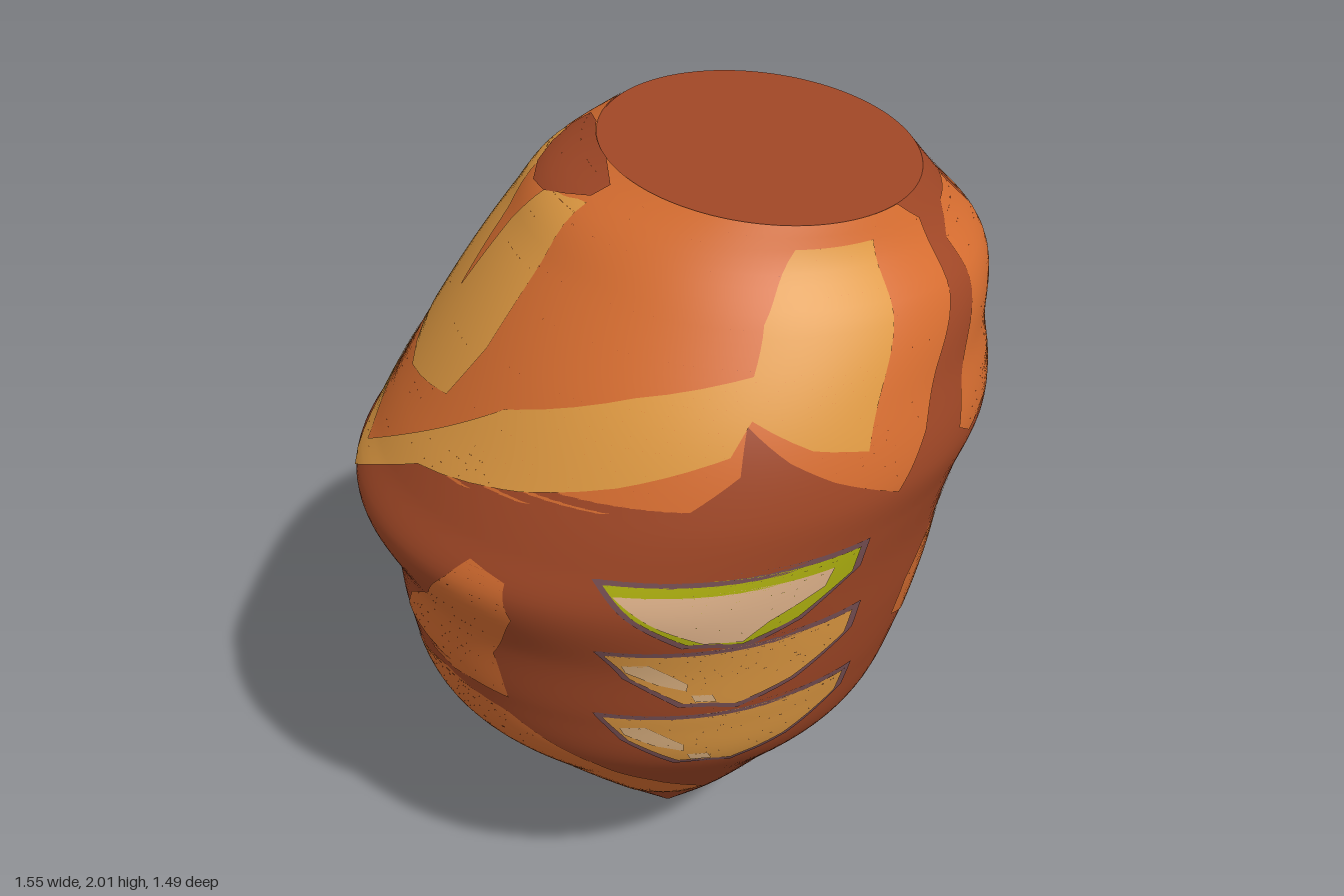
import * as THREE from 'three';

// Body cross-sections: height, left x, right x, half depth
const SECTIONS = [
  [0, -0.015, 0.015, 0.015], [0.18, -0.21, 0.2, 0.19], [0.42, -0.44, 0.38, 0.41], [0.63, -0.625, 0.545, 0.59],
  [0.8, -0.675, 0.61, 0.65], [0.98, -0.7, 0.656, 0.69], [1.17, -0.775, 0.69, 0.735], [1.29, -0.71, 0.725, 0.738],
  [1.41, -0.64, 0.77, 0.728], [1.6, -0.515, 0.752, 0.67], [1.79, -0.375, 0.742, 0.56], [1.9, -0.285, 0.65, 0.475],
  [1.975, -0.16, 0.585, 0.435],
];
const TOP = 1.975;
const HALF = Math.PI / 2;
const sectionCurve = new THREE.CubicInterpolant(
  SECTIONS.map((s) => s[0]), SECTIONS.flatMap((s) => s.slice(1)), 3, new Float32Array(3));

function section(t) {
  const [xl, xr, depth] = sectionCurve.evaluate(THREE.MathUtils.clamp(t, 0, TOP));
  return { cx: (xl + xr) / 2, a: (xr - xl) / 2, b: depth };
}

// Point on the skin; the upper rings lean down towards +x
function skin(angle, t) {
  const { cx, a, b } = section(t);
  const lean = 0.07 * THREE.MathUtils.smoothstep(t, 1.4, TOP);
  const dx = a * Math.sin(angle);
  return new THREE.Vector3(cx + dx, t - lean * dx, b * Math.cos(angle));
}

function skinNormal(angle, t) {
  const h = 0.01;
  const along = skin(angle + h, t).sub(skin(angle - h, t));
  const up = skin(angle, Math.min(TOP, t + h)).sub(skin(angle, Math.max(0, t - h)));
  return along.cross(up).normalize();
}

// Collects skin quads into a smooth geometry
class SkinBuilder {
  constructor(lift = 0, mirror = 1) {
    Object.assign(this, { lift, mirror, positions: [], normals: [], index: [] });
  }
  vertex(angle, t) {
    const n = skinNormal(angle, t);
    const p = skin(angle, t).addScaledVector(n, this.lift);
    this.positions.push(p.x, p.y, p.z * this.mirror);
    this.normals.push(n.x, n.y, n.z * this.mirror);
  }
  // Strip between two heights; each height has its own angle range
  strip(t0, from0, to0, t1, from1, to1, count) {
    const start = this.positions.length / 3;
    for (let i = 0; i <= count; i++) {
      const f = i / count;
      this.vertex(from0 + (to0 - from0) * f, t0);
      this.vertex(from1 + (to1 - from1) * f, t1);
      if (i === count) break;
      const k = start + i * 2;
      if (this.mirror > 0) this.index.push(k, k + 2, k + 3, k, k + 3, k + 1);
      else this.index.push(k, k + 3, k + 2, k, k + 1, k + 3);
    }
  }
  build() {
    const g = new THREE.BufferGeometry();
    g.setAttribute('position', new THREE.Float32BufferAttribute(this.positions, 3));
    g.setAttribute('normal', new THREE.Float32BufferAttribute(this.normals, 3));
    return g.setIndex(this.index);
  }
}

// Outline points given as front (x, y), right side (z, y) or left side (z, y)
const unit = (v) => THREE.MathUtils.clamp(v, -1, 1);
const front = (...pts) => pts.map(([x, y]) => {
  const { cx, a } = section(y);
  return [Math.asin(unit((x - cx) / a)), y];
});
const right = (...pts) => pts.map(([z, y]) => [Math.acos(unit(z / section(y).b)), y]);
const left = (...pts) => right(...pts).map(([angle, y]) => [-angle, y]);

// Thin plate wrapped on the skin, cut into trapezoids between outline points
function patchGeometry(outline, layer, mirror) {
  const skinPatch = new SkinBuilder(0.002 + layer * 0.002, mirror);
  const edges = outline.map((p, i) => [p, outline[(i + 1) % outline.length]]);
  const levels = [...new Set(outline.map((p) => p[1]))].sort((p, q) => p - q);
  const at = ([p, q], t) => p[0] + (q[0] - p[0]) * (t - p[1]) / (q[1] - p[1]);
  for (let l = 0; l + 1 < levels.length; l++) {
    const steps = Math.ceil((levels[l + 1] - levels[l]) / 0.025);
    for (let s = 0; s < steps; s++) {
      const t0 = THREE.MathUtils.lerp(levels[l], levels[l + 1], s / steps);
      const t1 = THREE.MathUtils.lerp(levels[l], levels[l + 1], (s + 1) / steps);
      const mid = (t0 + t1) / 2;
      const hits = edges.filter(([p, q]) => (p[1] > mid) !== (q[1] > mid)).sort((e, f) => at(e, mid) - at(f, mid));
      for (let i = 0; i + 1 < hits.length; i += 2) {
        const [e, f] = [hits[i], hits[i + 1]];
        const count = Math.max(1, Math.ceil((at(f, mid) - at(e, mid)) / 0.05));
        skinPatch.strip(t0, at(e, t0), at(f, t0), t1, at(e, t1), at(f, t1), count);
      }
    }
  }
  return skinPatch.build();
}

export function createModel() {
  const model = new THREE.Group();
  const material = (name, color) => Object.assign(new THREE.MeshStandardMaterial({ color }), { name });
  const brown = material('rust brown', 0xa04726);
  const orange = material('orange', 0xd66d30);
  const amber = material('amber', 0xe09a42);
  const green = material('yellow green', 0xb2b410);
  const peach = material('peach', 0xe6b88f);
  const plum = material('plum grey', 0x785054);
  const glint = material('pale glint', 0xe2b684);

  function add(name, geometry, mat) {
    const mesh = new THREE.Mesh(geometry, mat);
    mesh.name = name;
    model.add(mesh);
  }
  // Every marking appears on the front and mirrored on the back
  function marking(name, mat, layer, outline) {
    add(name + 'Front', patchGeometry(outline, layer, 1), mat);
    add(name + 'Back', patchGeometry(outline, layer, -1), mat);
  }

  // Body skin
  const body = new SkinBuilder();
  const rows = 110;
  for (let i = 0; i < rows; i++) {
    body.strip(TOP * i / rows, 0, Math.PI * 2, TOP * (i + 1) / rows, 0, Math.PI * 2, 112);
  }
  add('body', body.build(), brown);

  // Slanted flat top and tiny base
  const { cx, a, b } = section(TOP);
  const cap = new THREE.CircleGeometry(1, 112).rotateX(-HALF).scale(a, 1, b);
  cap.applyMatrix4(new THREE.Matrix4().set(1, 0, 0, cx, -0.07, 1, 0, TOP, 0, 0, 1, 0, 0, 0, 0, 1));
  cap.computeVertexNormals();
  add('flatTop', cap, brown);
  add('tip', new THREE.CircleGeometry(0.015, 24).rotateX(HALF), brown);

  // Upper orange coat and its amber bands
  marking('upperCoat', orange, 0, [
    ...left([0, TOP], [0, 1.19]),
    ...front([-0.62, 1.35], [-0.4, 1.4], [-0.05, 1.445], [0.06, 1.52], [0.08, 1.62], [0.17, 1.54], [0.27, 1.48],
      [0.43, 1.4], [0.5, 1.52], [0.53, 1.65], [0.52, 1.93], [0.46, TOP])]);
  marking('amberBand', amber, 1, [
    ...left([0, 1.25], [0, 1.18]),
    ...front([-0.62, 1.35], [-0.4, 1.42], [-0.2, 1.48], [0.04, 1.56], [0.09, 1.63], [0.22, 1.56], [0.35, 1.53],
      [0.4, 1.7], [0.39, 1.93], [0.21, 1.93], [0.13, 1.8], [0.1, 1.71], [-0.15, 1.65], [-0.42, 1.55], [-0.6, 1.41])]);
  marking('amberShoulder', amber, 1, left([0, 1.64], [0, 1.45], [0.24, 1.5], [0.27, 1.62], [0.21, 1.92], [0.08, 1.9],
    [0.03, 1.8]));
  marking('crownLeaf', brown, 2, left([0, 1.88], [0.08, 1.89], [0.2, 1.93], [0.2, 1.955], [0.1, TOP], [0, TOP]));

  // Orange shapes on the right side
  marking('rightCoat', orange, 0, right([0, 1.81], [0.03, 1.92], [0.18, 1.92], [0.28, 1.87], [0.35, 1.74], [0.43, 1.58],
    [0.47, 1.46], [0.42, 1.42], [0.3, 1.45], [0.2, 1.5], [0.09, 1.53], [0.12, 1.49], [0.25, 1.4], [0.38, 1.33],
    [0.35, 1.28], [0.38, 1.22], [0.38, 1.15], [0.2, 1.17], [0.1, 1.14], [0.05, 1.1], [0, 1.09]));
  marking('rightBlotch', orange, 0, right([0.39, 1.1], [0.24, 1.135], [0.11, 1.1], [0.08, 1], [0.13, 0.89], [0.09, 0.77],
    [0.06, 0.73], [0.1, 0.66], [0.19, 0.64], [0.28, 0.7], [0.31, 0.84], [0.44, 0.92], [0.44, 1.02]));
  marking('rightStreak', orange, 0, right([0.335, 0.64], [0.27, 0.645], [0.23, 0.4], [0.22, 0.3], [0.25, 0.29],
    [0.3, 0.45]));

  // Orange shapes on the left side
  marking('leftBlotch', orange, 0, front([-0.52, 1.245], [-0.45, 1.22], [-0.44, 1.12], [-0.48, 0.95], [-0.45, 0.81],
    [-0.57, 0.8], [-0.67, 0.83], [-0.66, 0.93], [-0.62, 1.07], [-0.58, 1.18]));
  marking('leftLowerBlotch', orange, 0, [
    ...left([0.11, 0.65], [0.1, 0.73]),
    ...front([-0.6, 0.78], [-0.45, 0.75], [-0.25, 0.62], [-0.07, 0.42], [0.06, 0.25], [0.01, 0.21], [-0.16, 0.17],
      [-0.19, 0.27]),
    ...left([0.2, 0.47])]);

  // Three gill slits, stacked
  const slit = [[-0.24, 1.055], [0, 1.07], [0.345, 1.07], [0.33, 1.0], [0.2, 0.915], [0.07, 0.87], [-0.06, 0.89],
    [-0.18, 0.975]];
  const move = (pts, dy) => front(...pts.map(([x, y]) => [x, y + dy]));
  const grow = (pts) => pts.map(([x, y]) => [0.05 + (x - 0.05) * 1.08, 0.985 + (y - 0.985) * 1.16]);
  ['upperGill', 'middleGill', 'lowerGill'].forEach((name, i) => {
    const dy = [0.21, 0, -0.225][i];
    marking(name + 'Rim', plum, 0, move(grow(slit), dy));
    marking(name, i ? amber : green, 1, move(slit, dy));
    if (i === 0) return;
    marking(name + 'Glint', glint, 2, move([[-0.2, 1.025], [-0.14, 1.03], [-0.05, 0.96], [-0.05, 0.935], [-0.12, 0.96],
      [-0.19, 1.0]], dy));
    marking(name + 'SmallGlint', glint, 2, move([[-0.04, 0.92], [0.01, 0.915], [0.02, 0.89], [-0.03, 0.895]], dy));
  });
  marking('upperGillInside', peach, 2, front([-0.22, 1.24], [0, 1.25], [0.28, 1.25], [0.26, 1.2], [0.13, 1.14],
    [0.07, 1.09], [-0.02, 1.1], [-0.12, 1.155]));

  return model;
}
